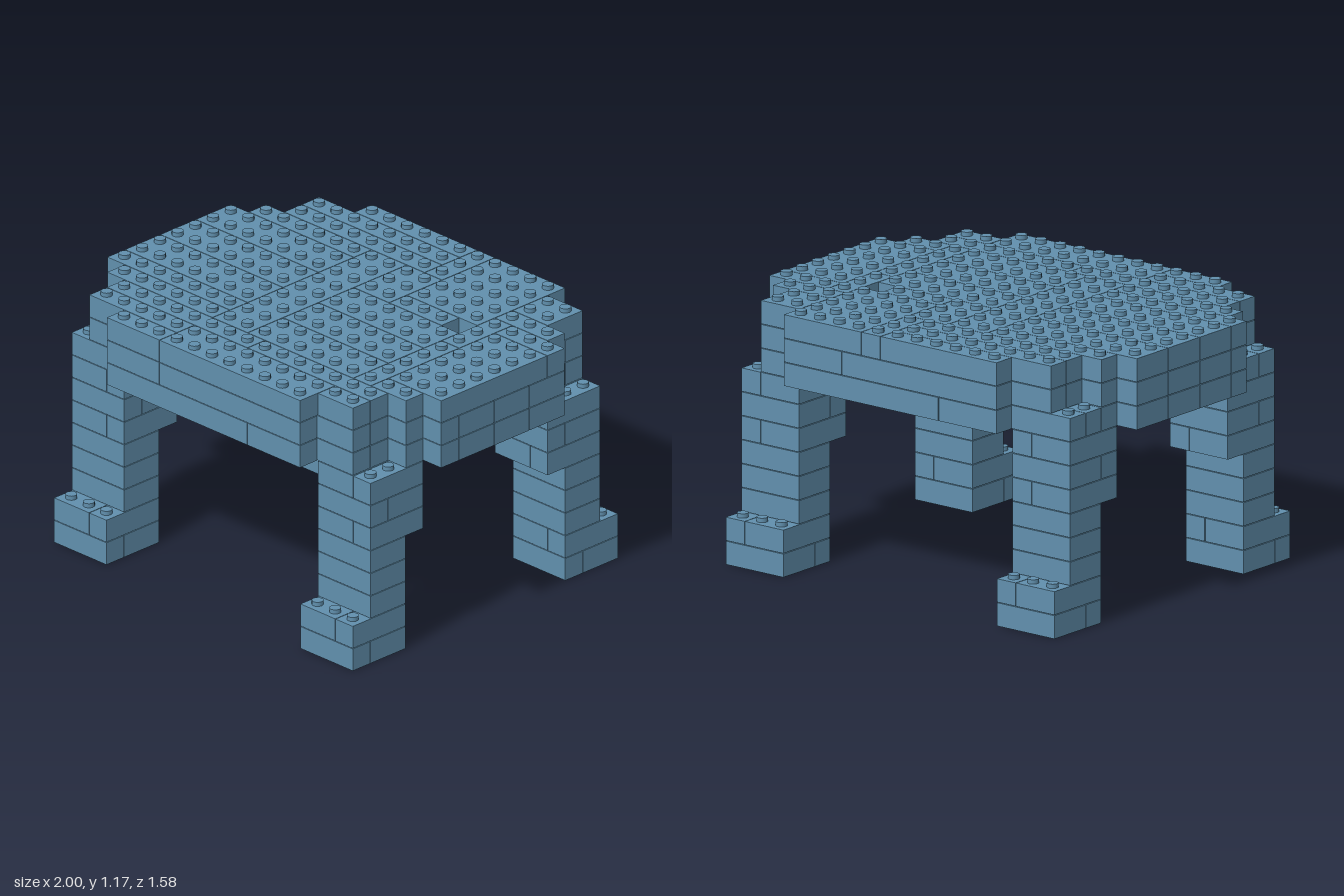
import * as THREE from 'three';
import { mergeGeometries } from 'three/addons/utils/BufferGeometryUtils.js';

const U = 2 / 19;      // one grid cell, also the height of a brick
const GAP = 0.003;     // seam between neighbouring bricks
const STUD_R = 0.025, STUD_H = 0.0175;

export function createModel() {
  const blue = new THREE.MeshStandardMaterial({ color: 0x6190ae });
  blue.name = 'dusty blue';
  const group = new THREE.Group();
  group.name = 'brickTable';

  // Bricks are [x0, x1, z0, z1, layer] in grid cells
  const parts = {};
  const filled = new Set();
  const key = (x, z, l) => `${x},${z},${l}`;
  function brick(part, x0, x1, z0, z1, layer) {
    (parts[part] ??= []).push([x0, x1, z0, z1, layer]);
    for (let x = x0; x < x1; x++) for (let z = z0; z < z1; z++) filled.add(key(x, z, layer));
  }

  // Four legs: wide foot, narrow shank, wide upper leg; seams alternate in direction
  for (const [side, x] of [['Left', 15], ['Right', 1]]) {
    for (const [end, foot, shank, upper] of [['front', 12, 12, 11], ['back', 0, 1, 1]]) {
      const name = `${end}${side}Leg`;
      for (let l = 0; l < 8; l++) {
        const z0 = l < 2 ? foot : l < 5 ? shank : upper;
        const z1 = z0 + (l >= 2 && l < 5 ? 2 : 3);
        if (l === 0 || l === 6) {
          brick(name, x, x + 3, z0, z0 + 2, l);
          brick(name, x, x + 3, z0 + 2, z1, l);
        } else if (l === 1 || l === 5 || l === 7) {
          brick(name, x, x + 2, z0, z1, l);
          brick(name, x + 2, x + 3, z0, z1, l);
        } else brick(name, x, x + 3, z0, z1, l);
      }
    }
  }

  // Lower two slab layers, in bands [z0, z1, x0, x1] following the stepped outline
  const bands = [
    [0, 1, 4, 15], [1, 2, 2, 17], [2, 3, 2, 17], [3, 4, 1, 18], [4, 6, 0, 19], [6, 8, 0, 19],
    [8, 10, 0, 19], [10, 11, 0, 19], [11, 12, 1, 18], [12, 13, 2, 17], [13, 14, 2, 17], [14, 15, 4, 15],
  ];
  bands.forEach(([z0, z1, x0, x1], i) => {
    const cut = i % 2 ? 12 : 7;
    // the bottom layer reaches out over the right-hand legs
    brick('slabBottom', x0 === 2 ? 1 : x0, cut, z0, z1, 8);
    brick('slabBottom', cut, x1, z0, z1, 8);
    // the middle layer has one open cell at a back corner
    brick('slabMiddle', x0, 19 - cut, z0, z1, 9);
    brick('slabMiddle', 19 - cut, z0 === 2 ? 16 : x1, z0, z1, 9);
  });

  // Top slab layer, with a one-cell hole
  [
    [4, 10, 0, 1], [2, 10, 1, 2], [2, 10, 2, 3], [10, 11, 0, 3], [11, 15, 0, 5], [11, 14, 5, 6],
    [15, 17, 1, 3], [15, 18, 3, 4], [1, 7, 3, 4], [7, 9, 3, 12], [9, 11, 3, 6],
    [0, 7, 4, 6], [0, 7, 6, 8], [0, 7, 8, 10], [0, 7, 10, 11], [1, 7, 11, 12],
    [9, 15, 6, 8], [9, 15, 8, 10], [9, 15, 10, 12],
    [15, 16, 4, 7], [15, 16, 7, 12], [16, 19, 4, 5], [16, 19, 5, 11], [16, 18, 11, 12],
    [2, 10, 12, 13], [10, 17, 12, 13], [2, 7, 13, 14], [4, 7, 14, 15], [7, 15, 13, 15], [15, 17, 13, 14],
  ].forEach((b) => brick('slabTop', ...b, 10));

  // One mesh of bricks per part, and one of its uncovered studs
  const px = (x) => (x - 9.5) * U;
  const pz = (z) => (z - 7.5) * U;
  function addMesh(name, geometries) {
    const mesh = new THREE.Mesh(mergeGeometries(geometries), blue);
    mesh.name = name;
    group.add(mesh);
  }
  for (const [name, bricks] of Object.entries(parts)) {
    const boxes = [], studs = [];
    for (const [x0, x1, z0, z1, l] of bricks) {
      boxes.push(new THREE.BoxGeometry((x1 - x0) * U - GAP, U - GAP, (z1 - z0) * U - GAP)
        .translate(px((x0 + x1) / 2), (l + 0.5) * U, pz((z0 + z1) / 2)));
      for (let x = x0; x < x1; x++) {
        for (let z = z0; z < z1; z++) {
          if (filled.has(key(x, z, l + 1))) continue;
          studs.push(new THREE.CylinderGeometry(STUD_R, STUD_R, STUD_H + GAP, 16)
            .translate(px(x + 0.5), (l + 1) * U + (STUD_H - GAP) / 2, pz(z + 0.5)));
        }
      }
    }
    addMesh(name, boxes);
    if (studs.length) addMesh(`${name}Studs`, studs);
  }
  return group;
}
